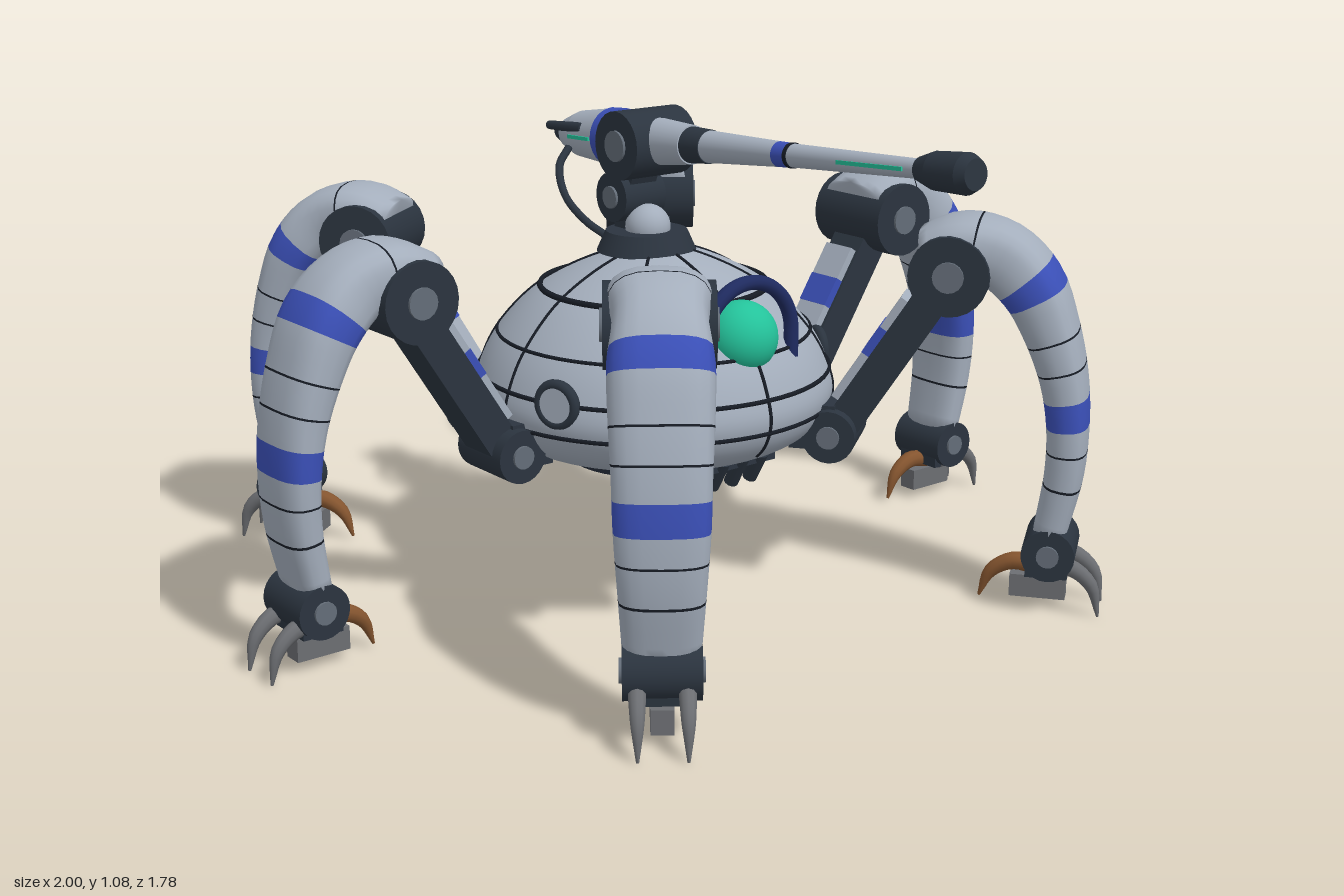
import * as THREE from 'three';

const mat = (name, color, side = THREE.FrontSide) => {
  const m = new THREE.MeshStandardMaterial({ color, side });
  m.name = name;
  return m;
};
const hull = mat('hull grey', 0xa4aebc), dark = mat('dark joint', 0x2b343f), line = mat('panel line', 0x171c25),
  blue = mat('blue band', 0x3b50b8), navy = mat('navy arch', 0x1f2b60), green = mat('green glow', 0x24c39b),
  steel = mat('claw steel', 0x6c6e72), brown = mat('claw bronze', 0x85552f), hub = mat('hub grey', 0x646d78);

const CZ = -0.065; // body axis
const v = (x, y, z = 0) => new THREE.Vector3(x, y, z);

function add(parent, name, geo, material, x = 0, y = 0, z = 0) {
  const m = new THREE.Mesh(geo, material);
  m.name = name;
  m.position.set(x, y, z);
  parent.add(m);
  return m;
}
const box = (w, h, d) => new THREE.BoxGeometry(w, h, d);
const cyl = (rt, rb, h, n = 24) => new THREE.CylinderGeometry(rt, rb, h, n);

// Lofted limb in the XY plane. stations: [x, y, halfThickness, halfWidth].
// bands: [fromStation, toStation, materialIndex]; the rest uses material 0.
function loft(stations, bands = [], sides = 20, power = 0.75) {
  const n = stations.length - 1;
  const path = new THREE.CatmullRomCurve3(stations.map(s => v(s[0], s[1])));
  const size = new THREE.CatmullRomCurve3(stations.map(s => v(s[2], s[3])));
  const cuts = new Set(bands.flatMap(b => [b[0], b[1]]));
  for (let i = 0; i <= n * 4; i++) cuts.add(i / 4);
  const rows = [...cuts].sort((a, b) => a - b);
  const pos = [], idx = [], geo = new THREE.BufferGeometry();
  const bend = c => Math.sign(c) * Math.abs(c) ** power;
  for (const r of rows) {
    const p = path.getPoint(r / n), s = size.getPoint(r / n), t = path.getTangent(r / n);
    for (let j = 0; j < sides; j++) {
      const a = j / sides * Math.PI * 2, h = s.x * bend(Math.cos(a)), w = s.y * bend(Math.sin(a));
      pos.push(p.x - t.y * h, p.y + t.x * h, w);
    }
  }
  const group = (count, m) => geo.addGroup(idx.length - count, count, m);
  for (let i = 0; i < rows.length - 1; i++) {
    const mid = (rows[i] + rows[i + 1]) / 2;
    for (let j = 0; j < sides; j++) {
      const k = (j + 1) % sides, a = i * sides, b = a + sides;
      idx.push(a + j, a + k, b + j, a + k, b + k, b + j);
    }
    const band = bands.find(b => mid > b[0] && mid < b[1]);
    group(sides * 6, band ? band[2] : 0);
  }
  const last = (rows.length - 1) * sides;
  for (let j = 1; j < sides - 1; j++) idx.push(0, j + 1, j, last, last + j, last + j + 1);
  group((sides - 2) * 6, 0);
  geo.setAttribute('position', new THREE.Float32BufferAttribute(pos, 3));
  geo.setIndex(idx);
  geo.computeVertexNormals();
  return geo;
}

// Sideways joint drum with a hub on both ends
function joint(parent, name, x, y, r, width, hubR) {
  const g = new THREE.Group();
  g.name = name;
  g.position.set(x, y, 0);
  g.rotation.x = Math.PI / 2;
  add(g, name + 'Drum', cyl(r, r, width), dark);
  add(g, name + 'Hub', cyl(hubR, hubR, width + 0.012, 16), hub);
  parent.add(g);
  return g;
}

const shinGeo = loft([
  [0.60, 0.775, 0.055, 0.092], [0.68, 0.793, 0.07, 0.102], [0.76, 0.775, 0.072, 0.09],
  [0.825, 0.715, 0.068, 0.1], [0.87, 0.62, 0.058, 0.098], [0.90, 0.52, 0.05, 0.093],
  [0.913, 0.42, 0.045, 0.09], [0.91, 0.31, 0.042, 0.083], [0.885, 0.17, 0.036, 0.074]],
[[2.75, 3.25, 1], [5.4, 6, 1], [1.3, 1.34, 2], [4.1, 4.14, 2], [4.75, 4.79, 2], [6.5, 6.54, 2], [7.15, 7.19, 2]]);
const outerClawGeo = loft([[0.86, 0.10, 0.022, 0.02], [0.93, 0.112, 0.02, 0.018],
  [0.98, 0.075, 0.015, 0.014], [0.998, 0.005, 0.003, 0.003]], [], 10, 1);
const innerClawGeo = loft([[0.87, 0.09, 0.022, 0.022], [0.81, 0.098, 0.02, 0.02],
  [0.762, 0.07, 0.015, 0.015], [0.738, 0.012, 0.003, 0.003]], [], 10, 1);

function makeLeg(angle) {
  const leg = new THREE.Group();
  leg.name = 'leg';
  leg.position.z = CZ;
  leg.rotation.y = -angle;
  // hip and upper arm
  joint(leg, 'hip', 0.41, 0.37, 0.058, 0.16, 0.025);
  add(leg, 'hipBlock', box(0.1, 0.1, 0.12), dark, 0.37, 0.385, 0);
  const arm = new THREE.Group();
  arm.name = 'upperArm';
  arm.position.set(0.42, 0.37, 0);
  arm.rotation.z = Math.atan2(0.36, 0.23);
  add(arm, 'armCore', box(0.42, 0.075, 0.1), dark, 0.21, 0, 0);
  add(arm, 'armPlate', box(0.27, 0.02, 0.085), hull, 0.2, 0.045, 0);
  add(arm, 'armBand', box(0.07, 0.021, 0.087), blue, 0.22, 0.046, 0);
  leg.add(arm);
  // knee, shin and ankle
  joint(leg, 'knee', 0.66, 0.745, 0.085, 0.215, 0.033);
  add(leg, 'shin', shinGeo, [hull, blue, line]);
  joint(leg, 'ankle', 0.888, 0.14, 0.057, 0.15, 0.024);
  add(leg, 'anklePlate', box(0.09, 0.06, 0.12), dark, 0.885, 0.115, 0);
  // claws
  add(leg, 'footPad', box(0.12, 0.05, 0.045), steel, 0.865, 0.05, 0);
  for (const z of [-0.047, 0.047]) add(leg, 'outerClaw', outerClawGeo, steel, 0, 0, z);
  add(leg, 'innerClaw', innerClawGeo, brown);
  return leg;
}

function makeBody() {
  const body = new THREE.Group();
  body.name = 'body';
  body.position.z = CZ;
  const profile = new THREE.SplineCurve([[0.001, 0.31], [0.18, 0.312], [0.29, 0.328], [0.365, 0.37], [0.397, 0.435],
    [0.385, 0.50], [0.345, 0.575], [0.27, 0.655], [0.18, 0.71], [0.08, 0.748], [0.001, 0.76]]
    .map(p => new THREE.Vector2(...p))).getPoints(50);
  add(body, 'shell', new THREE.LatheGeometry(profile, 64), hull);
  add(body, 'bellyPlate', cyl(0.165, 0.195, 0.035, 40), line, 0, 0.3, 0);
  // panel seams
  for (const [r, y, t] of [[0.25, 0.672, 0.007], [0.346, 0.575, 0.004], [0.389, 0.49, 0.005], [0.394, 0.42, 0.005]])
    add(body, 'ringSeam', new THREE.TorusGeometry(r, t, 6, 64), line, 0, y, 0).rotation.x = Math.PI / 2;
  const seam = new THREE.CatmullRomCurve3(profile.slice(14).map(p => v(p.x, p.y)));
  const seamGeo = new THREE.TubeGeometry(seam, 40, 0.004, 5);
  for (let i = 0; i < 8; i++) add(body, 'meridianSeam', seamGeo, line).rotation.y = i * Math.PI / 4;
  // side portholes
  for (const s of [1, -1]) {
    const port = new THREE.Group();
    port.name = 'porthole';
    port.position.set(s * 0.363, 0.49, 0.14);
    port.rotation.y = s * (Math.PI / 2 - 0.37);
    add(port, 'portRim', new THREE.TorusGeometry(0.043, 0.012, 10, 28), dark);
    add(port, 'portCover', cyl(0.04, 0.04, 0.02), hull).rotation.x = Math.PI / 2;
    body.add(port);
  }
  // eye and its arch
  add(body, 'eye', new THREE.SphereGeometry(0.078, 32, 20), green, 0, 0.61, 0.3);
  add(body, 'eyeArch', new THREE.TorusGeometry(0.12, 0.016, 12, 36, Math.PI), navy, 0, 0.61, 0.322);
  for (const x of [-0.12, 0.12]) add(body, 'archFoot', cyl(0.016, 0.016, 0.06, 12), navy, x, 0.58, 0.322);
  // chin prongs
  add(body, 'chinBar', box(0.24, 0.03, 0.06), dark, 0, 0.325, 0.245);
  for (const x of [-0.08, -0.027, 0.027, 0.08])
    add(body, 'chinProng', cyl(0.018, 0.016, 0.075, 12), dark, x, 0.3, 0.255).rotation.x = 0.5;
  return body;
}

function makeTurret() {
  const turret = new THREE.Group();
  turret.name = 'turret';
  // base and neck
  add(turret, 'turretBase', cyl(0.09, 0.11, 0.045, 32), dark, 0, 0.765, -0.09);
  add(turret, 'neckDome', new THREE.SphereGeometry(0.05, 20, 14), hull, 0, 0.795, -0.085);
  joint(turret, 'lowerPivot', 0, 0.857, 0.055, 0.11, 0.025).position.z = -0.145;
  add(turret, 'neckPost', box(0.07, 0.13, 0.06), dark, 0, 0.82, -0.13);
  add(turret, 'neckLink', box(0.07, 0.13, 0.06), dark, 0, 0.92, -0.12).rotation.x = 0.4;
  for (const g of [turret.getObjectByName('lowerPivot')]) g.rotation.set(0, 0, Math.PI / 2);
  const upper = joint(turret, 'gunPivot', 0, 0.98, 0.075, 0.165, 0.034);
  upper.position.z = -0.09;
  upper.rotation.set(0, 0, Math.PI / 2);
  // side cables
  for (const s of [1, -1]) {
    const path = new THREE.CatmullRomCurve3([v(s * 0.05, 0.945, -0.31), v(s * 0.09, 0.91, -0.29),
      v(s * 0.112, 0.85, -0.235), v(s * 0.09, 0.8, -0.19), v(s * 0.06, 0.77, -0.16)]);
    add(turret, 'cable', new THREE.TubeGeometry(path, 24, 0.009, 8), dark);
  }
  // gun: sections along its axis, [from, to, radiusFrom, radiusTo, name, material]
  const gun = new THREE.Group();
  gun.name = 'gun';
  gun.position.set(0, 0.985, -0.09);
  gun.rotation.x = Math.PI / 2 - 0.064;
  for (const [a, b, ra, rb, name, m] of [
    [-0.32, -0.28, 0.018, 0.034, 'tailTip', dark], [-0.28, -0.23, 0.035, 0.052, 'tailCone', hull],
    [-0.23, -0.12, 0.052, 0.063, 'receiver', hull], [-0.12, -0.08, 0.065, 0.065, 'receiverBand', blue],
    [-0.08, 0.04, 0.06, 0.052, 'breech', dark], [0.04, 0.16, 0.052, 0.042, 'sleeve', hull],
    [0.16, 0.22, 0.039, 0.036, 'collar', dark], [0.22, 0.44, 0.034, 0.026, 'rearBarrel', hull],
    [0.44, 0.475, 0.026, 0.025, 'barrelBand', blue], [0.475, 0.485, 0.026, 0.026, 'barrelRing', line],
    [0.485, 0.84, 0.024, 0.019, 'frontBarrel', hull], [0.84, 0.88, 0.024, 0.037, 'muzzleCone', dark],
    [0.88, 0.96, 0.037, 0.04, 'muzzle', dark], [0.96, 0.98, 0.04, 0.03, 'muzzleLip', dark]])
    add(gun, name, cyl(rb, ra, b - a, 28), m, 0, (a + b) / 2, 0);
  for (const s of [1, -1]) {
    add(gun, 'barrelGlow', box(0.006, 0.18, 0.008), green, s * 0.02, 0.72, 0);
    add(gun, 'receiverGlow', box(0.008, 0.09, 0.008), green, s * 0.058, -0.17, 0).rotation.z = -s * 0.1;
    add(gun, 'tailRod', cyl(0.013, 0.01, 0.13, 10), dark, s * 0.045, -0.235, -0.02);
  }
  turret.add(gun);
  return turret;
}

export function createModel() {
  const model = new THREE.Group();
  model.name = 'sixLeggedWalker';
  model.add(makeBody(), makeTurret());
  const spread = 53 * Math.PI / 180;
  for (const a of [0, spread, Math.PI - spread, Math.PI, Math.PI + spread, -spread]) model.add(makeLeg(a));
  return model;
}
